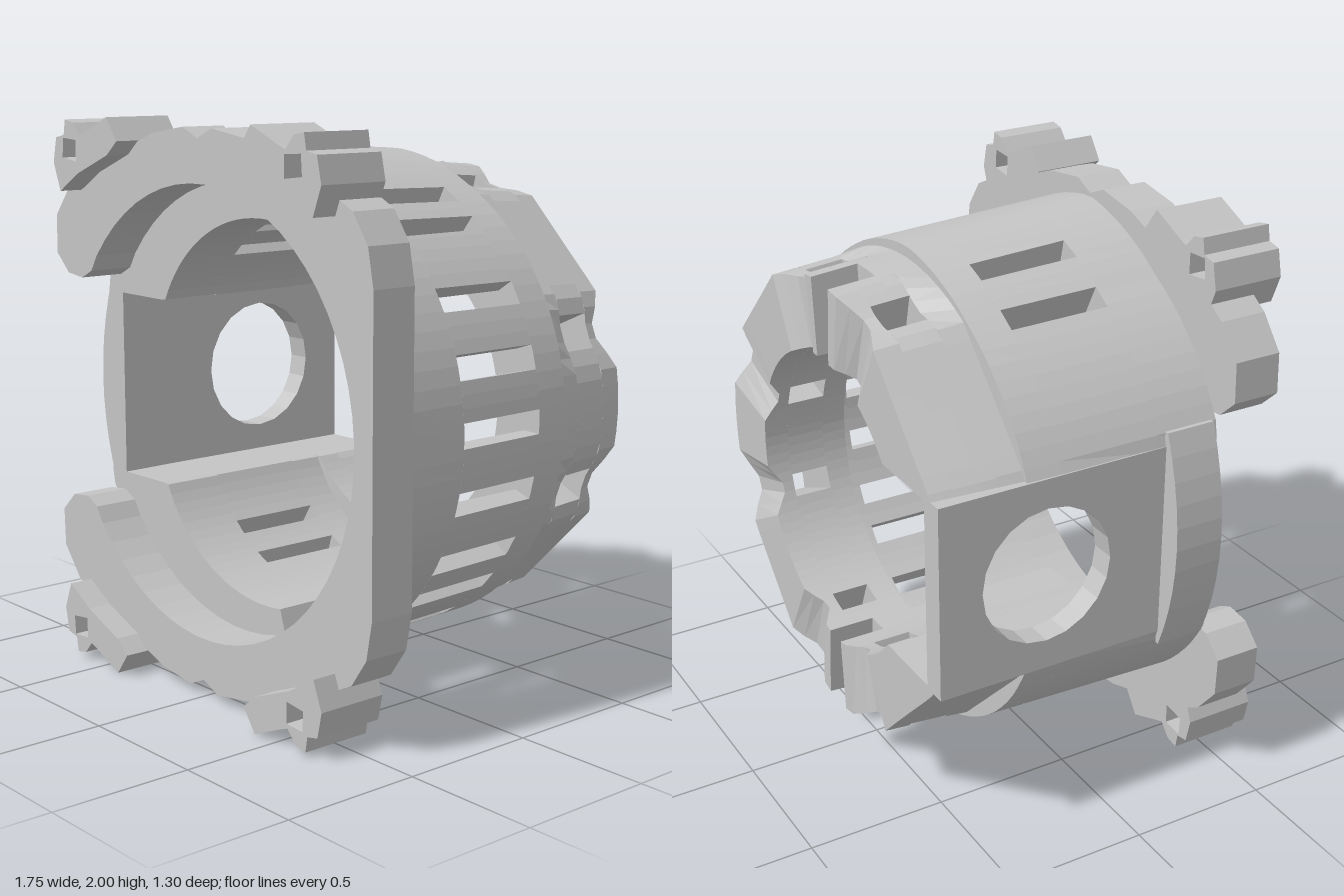
import * as THREE from 'three';

const grey = new THREE.MeshStandardMaterial({ color: 0xc4c4c4, flatShading: true });
grey.name = 'plain grey';
const RAD = Math.PI / 180;
const CY = 1; // height of the bore axis

// Ring sector: sweeps an (r, z) profile around the bore axis.
// The left side is cut flat and leaves a channel bounded by two level shelves.
function sector(a0, a1, profile) {
  const n = Math.max(1, Math.ceil((a1 - a0) / 4));
  const rows = [];
  for (let i = 0; i <= n; i++) {
    const a = a0 + ((a1 - a0) * i) / n;
    rows.push(profile(a).map(([r, z]) => {
      const x = THREE.MathUtils.clamp(r * Math.cos(a * RAD), -0.79, 0.87);
      let y = r * Math.sin(a * RAD);
      if (x < -0.3) y = Math.sign(y) * Math.max(Math.abs(y), 0.34);
      return [x, y + CY, z];
    }));
  }
  const pos = [];
  const quad = (a, b, c, d) => pos.push(...a, ...b, ...c, ...a, ...c, ...d);
  for (let i = 0; i < n; i++) {
    for (let j = 0; j < 4; j++) {
      const k = (j + 1) % 4;
      quad(rows[i][j], rows[i + 1][j], rows[i + 1][k], rows[i][k]);
    }
  }
  quad(...rows[0]);
  quad(...rows[n].slice().reverse());
  const geo = new THREE.BufferGeometry();
  geo.setAttribute('position', new THREE.Float32BufferAttribute(pos, 3));
  geo.computeVertexNormals();
  return geo;
}

// Sector with angular openings given as [centre, half width]
function pierced(group, name, a0, a1, gaps, profile) {
  let start = a0;
  const sorted = gaps.filter(([c]) => c > a0 && c < a1).sort((p, q) => p[0] - q[0]);
  for (const [c, h] of [...sorted, [a1, 0]]) {
    add(group, name, sector(start, c - h, profile));
    start = c + h;
  }
}

function add(group, name, geo) {
  const mesh = new THREE.Mesh(geo, grey);
  mesh.name = name;
  group.add(mesh);
  return mesh;
}

const toShape = (pts) => new THREE.Shape(pts.map(([x, y]) => new THREE.Vector2(x, y)));
const extrude = (shape, depth) =>
  new THREE.ExtrudeGeometry(shape, { depth, bevelEnabled: false, curveSegments: 10 });

// 1 at the given angle, falling to 0 at the given distance from it
const peak = (a, centre, reach) => Math.max(0, 1 - Math.abs(a - centre) / reach);

export function createModel() {
  const model = new THREE.Group();
  model.name = 'housing';

  // Barrel: slight taper and a low ridge on top; thin on the right,
  // with thick cheeks towards the open left side
  const barrelOuter = (a, z) =>
    0.875 - (0.39 - z) * 0.028 + peak(a, 90, 28) * (0.055 - (0.39 - z) * 0.042);
  const thin = () => 0.79;
  const thick = (a) => 0.7 - 0.15 * Math.min(1, Math.max(0, (Math.abs(a) - 72) / 70));
  const slots = [60, 49, 30.5, 15.5, 1, -14.5, -30.5, -42.5, -59, 105.5, 120, -105.5, -120]
    .map((a) => [a, 2.8]);
  const barrelLayers = [[-0.33, -0.2, []], [-0.2, 0.16, slots], [0.16, 0.39, []]];
  for (const [z0, z1, gaps] of barrelLayers) {
    const wall = (inner) => (a) => [
      [inner(a), z0], [barrelOuter(a, z0), z0], [barrelOuter(a, z1), z1], [inner(a), z1],
    ];
    pierced(model, 'barrelWall', -72, 72, gaps, wall(thin));
    pierced(model, 'upperCheek', 72, 157, gaps, wall(thick));
    pierced(model, 'lowerCheek', -157, -72, gaps, wall(thick));
  }

  // Rear ring: flat chamfers at the diagonals, radial holes lying in shallow
  // valleys, and notches at top and bottom
  const holeAngles = [20, 72, 108, -20, -72, -108];
  const valley = (a) => Math.max(...holeAngles.map((h) => peak(a, h, 10)));
  const rearOuter = (a, z) => {
    const d = Math.abs(Math.abs(a) - (Math.abs(a) > 90 ? 135 : 45));
    const r = d < 18 ? 0.8 / Math.cos(d * RAD) : 0.84;
    return r - (-0.33 - z) * 0.08 - (z < -0.35 ? 0.04 * valley(a) : 0);
  };
  const holes = holeAngles.map((a) => [a, 4.5]);
  const notches = [[90, 4.5], [-90, 4.5]];
  const rearLayers = [
    [-0.65, -0.56, notches],
    [-0.56, -0.48, [...holes, ...notches]],
    [-0.48, -0.42, holes],
    [-0.42, -0.33, []],
  ];
  for (const [z0, z1, gaps] of rearLayers) {
    pierced(model, 'rearRing', -157, 157, gaps, (a) => {
      const back = z0 === -0.65 ? z0 + 0.06 * valley(a) : z0;
      return [[0.54, back], [rearOuter(a, z0), back], [rearOuter(a, z1), z1], [0.54, z1]];
    });
  }

  // Front flange: C-shaped plate
  const upper = [
    [0.875, 0.52], [0.85, 0.65], [0.78, 0.75], [0.7, 0.79], [0.52, 0.83], [0.39, 0.9],
    [0.25, 0.95], [0.08, 0.975], [0, 0.94], [-0.08, 0.975], [-0.25, 0.95], [-0.39, 0.9],
    [-0.52, 0.83], [-0.7, 0.79], [-0.78, 0.74], [-0.87, 0.63], [-0.875, 0.49],
    [-0.8, 0.42], [-0.71, 0.41], [-0.65, 0.44],
  ];
  const bore = [];
  for (let a = 141; a >= -141; a -= 6) {
    bore.push([0.79 * Math.cos(a * RAD), 0.79 * Math.sin(a * RAD)]);
  }
  const lower = upper.map(([x, y]) => [x, -y]).reverse();
  add(model, 'frontFlange', extrude(toShape([...upper, ...bore, ...lower]), 0.17))
    .position.set(0, CY, 0.39);

  // Corner lugs with square eyes
  const lug = [
    [0.34, 0.92], [0.4, 1], [0.53, 0.945], [0.57, 0.93], [0.61, 0.975], [0.66, 0.985],
    [0.67, 0.93], [0.72, 0.92], [0.74, 0.83], [0.7, 0.73], [0.58, 0.8], [0.4, 0.87],
  ];
  const eye = [[0.565, 0.84], [0.65, 0.85], [0.645, 0.92], [0.565, 0.915]];
  for (const sx of [-1, 1]) {
    for (const sy of [-1, 1]) {
      const flip = ([x, y]) => [x * sx, y * sy];
      const shift = sx < 0 ? 0.03 : 0;
      const shape = toShape(lug.map(flip));
      shape.holes.push(toShape(eye.map(([x, y]) => flip([x + shift, y]))));
      add(model, 'cornerLug', extrude(shape, 0.26)).position.set(0, CY, 0.39);
    }
  }

  // Flat side wall closing the channel, with a round window
  const side = toShape([[-0.65, -0.35], [0.39, -0.35], [0.39, 0.35], [-0.65, 0.35]]);
  const window = new THREE.Path();
  window.absellipse(-0.255, 0, 0.24, 0.245, 0, Math.PI * 2, true);
  side.holes.push(window);
  const sideWall = add(model, 'sideWall', extrude(side, 0.09));
  sideWall.rotation.y = -Math.PI / 2;
  sideWall.position.set(-0.7, CY, 0);

  // Curved rib on the outside of the side wall
  const rib = [[-0.78, -0.4], [-0.78, 0.4]];
  for (let i = 0; i <= 10; i++) {
    const y = 0.4 - 0.08 * i;
    rib.push([-0.875 + 0.5 * y * y, y]);
  }
  add(model, 'sideRib', extrude(toShape(rib), 0.18)).position.set(0, CY, 0.19);

  return model;
}
